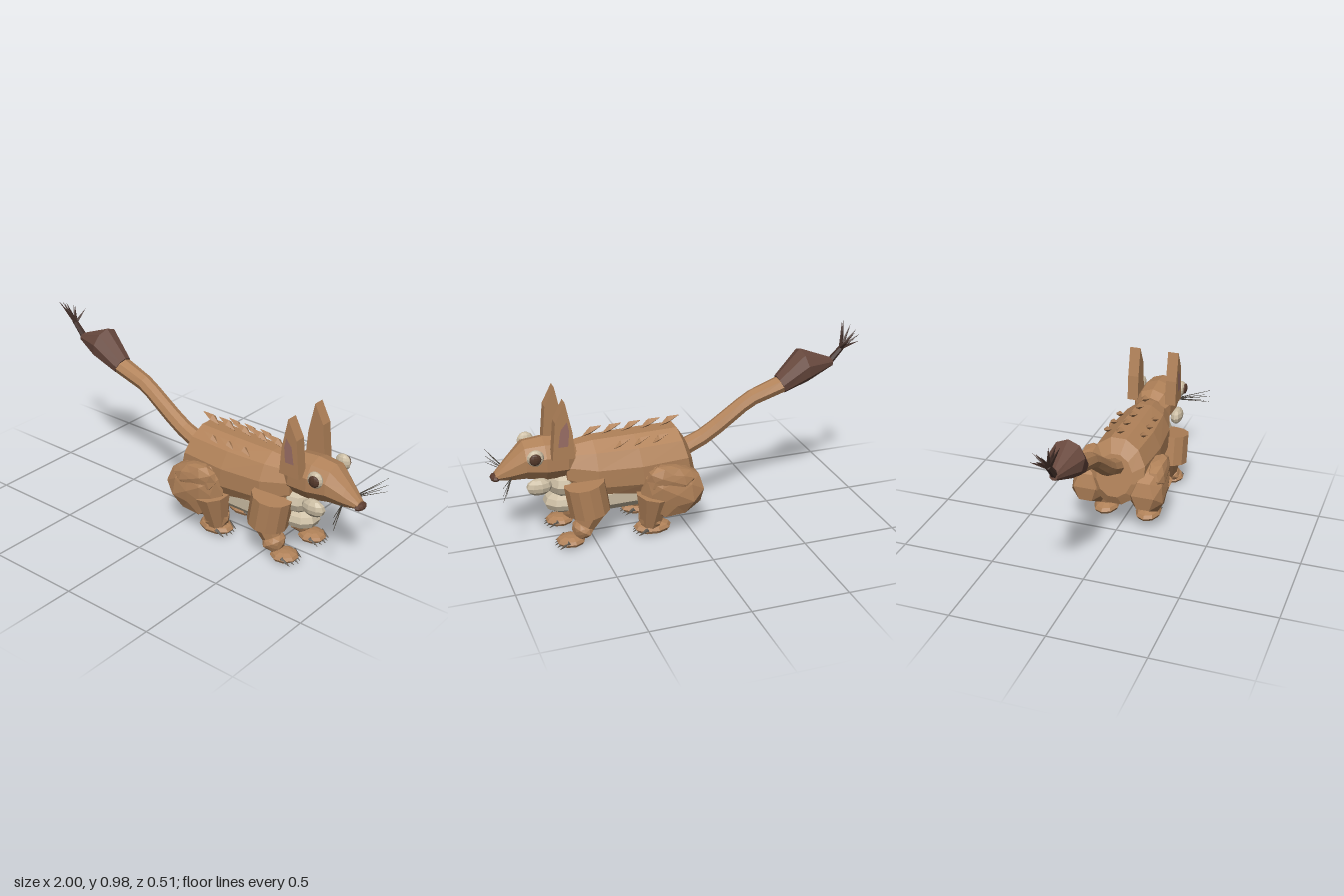
import * as THREE from 'three';

const mat = (name, color, side = THREE.FrontSide) => {
  const m = new THREE.MeshStandardMaterial({ color, flatShading: true, side });
  m.name = name;
  return m;
};

export function createModel() {
  const root = new THREE.Group();
  root.name = 'longTailedRodent';
  const fur = mat('tan fur', 0xb18259);
  const cream = mat('cream fur', 0xcbbda3);
  const tuftFur = mat('dark tail fur', 0x6a4a3f);
  const hair = mat('tail hair', 0x44302a);
  const noseSkin = mat('nose brown', 0x5c3d30);
  const pupilMat = mat('eye brown', 0x55392b);
  const pink = mat('inner ear pink', 0x9b6f66, THREE.DoubleSide);
  const clawMat = mat('claw grey', 0x5e574e);
  const whiskerMat = mat('whisker grey', 0x48433c);

  const add = (name, geo, material, pos = [0, 0, 0], parent = root) => {
    const m = new THREE.Mesh(geo, material);
    m.name = name;
    m.position.set(...pos);
    parent.add(m);
    return m;
  };

  // Closed skin over elliptical rings [x, y, radiusY, radiusZ, tilt], listed towards +x
  const loft = (rings, sides, phase = 0, z0 = 0) => {
    const p = [], idx = [], n = rings.length;
    for (const [x, y, ry, rz, t = 0] of rings)
      for (let j = 0; j < sides; j++) {
        const a = ((j + phase) / sides) * Math.PI * 2, h = Math.cos(a) * ry;
        p.push(x - Math.sin(t) * h, y + Math.cos(t) * h, z0 + Math.sin(a) * rz);
      }
    p.push(rings[0][0], rings[0][1], z0, rings[n - 1][0], rings[n - 1][1], z0);
    for (let j = 0; j < sides; j++) {
      const k = (j + 1) % sides, e = (n - 1) * sides;
      for (let i = 0; i < n - 1; i++) {
        const a = i * sides, b = a + sides;
        idx.push(a + j, a + k, b + j, a + k, b + k, b + j);
      }
      idx.push(n * sides, k, j, n * sides + 1, e + j, e + k);
    }
    const g = new THREE.BufferGeometry();
    g.setAttribute('position', new THREE.Float32BufferAttribute(p, 3));
    g.setIndex(idx);
    g.computeVertexNormals();
    return g;
  };

  // Tapered rod between two points
  const rod = (name, a, b, r0, r1, sides, material) => {
    const A = new THREE.Vector3(...a), B = new THREE.Vector3(...b), d = B.clone().sub(A);
    const m = add(name, new THREE.CylinderGeometry(r1, r0, d.length(), sides), material);
    m.position.copy(A).add(B).multiplyScalar(0.5);
    m.quaternion.setFromUnitVectors(new THREE.Vector3(0, 1, 0), d.normalize());
    return m;
  };

  const ball = (rx, ry, rz, w = 9, h = 6) => new THREE.SphereGeometry(1, w, h).scale(rx, ry, rz);

  // Ruffled low-poly lump, the same on both sides of the body
  const ruffle = (rx, ry, rz, amount) => {
    const g = new THREE.IcosahedronGeometry(1, 1), p = g.attributes.position;
    for (let i = 0; i < p.count; i++) {
      const x = p.getX(i), y = p.getY(i), z = Math.abs(p.getZ(i));
      const f = 1 + amount * Math.sin(9 * x + 12 * y + 5 * z);
      p.setXYZ(i, x * f, y * f, p.getZ(i) * f);
    }
    g.scale(rx, ry, rz);
    g.computeVertexNormals();
    return g;
  };

  // Trunk and underside
  add('body', loft([[-0.035, 0.36, 0.12, 0.1, -0.2], [0, 0.37, 0.185, 0.16, -0.2],
    [0.25, 0.36, 0.19, 0.17, -0.08], [0.48, 0.365, 0.18, 0.15], [0.63, 0.4, 0.12, 0.1]], 12, 0.5), fur);
  add('belly', loft([[0, 0.25, 0.06, 0.07], [0.15, 0.24, 0.1, 0.135], [0.45, 0.235, 0.095, 0.135],
    [0.62, 0.25, 0.07, 0.09]], 10), cream);
  add('lowerChest', ball(0.1, 0.06, 0.09), cream, [0.64, 0.215, 0]);
  add('upperChest', ball(0.09, 0.075, 0.115), cream, [0.635, 0.325, 0]);

  // Head and snout
  add('head', loft([[0.57, 0.45, 0.09, 0.085], [0.62, 0.46, 0.11, 0.11], [0.73, 0.465, 0.115, 0.115],
    [0.83, 0.47, 0.1, 0.1], [0.91, 0.43, 0.06, 0.062], [0.975, 0.4, 0.02, 0.03]], 10), fur);
  add('nose', ball(0.026, 0.02, 0.042), noseSkin, [0.974, 0.393, 0]);

  // Tail, tuft and hair tip
  add('tail', loft([[-0.56, 0.69, 0.045, 0.055, -0.35], [-0.4, 0.635, 0.042, 0.047, -0.4],
    [-0.34, 0.6, 0.04, 0.046, -0.6], [-0.2, 0.5, 0.043, 0.046, -0.6], [-0.12, 0.45, 0.043, 0.047, -0.45],
    [0, 0.4, 0.045, 0.053, -0.4]], 8), fur);
  add('tailTuft', loft([[-0.85, 0.78, 0.022, 0.02, -0.1], [-0.685, 0.785, 0.093, 0.09, -0.25],
    [-0.555, 0.69, 0.052, 0.057, -0.45]], 9), tuftFur);
  rod('tuftStalk', [-0.84, 0.785, 0], [-0.91, 0.86, 0], 0.018, 0.014, 6, hair);
  [[-0.945, 0.985, 0.075], [-0.92, 0.975, 0.045], [-0.965, 0.965, 0.03], [-0.985, 0.945, 0],
    [-0.9, 0.95, 0], [-0.998, 0.925, -0.02], [-0.955, 0.94, -0.04], [-0.9, 0.91, -0.08],
    [-0.97, 0.9, -0.06]].forEach((tip) => rod('tailHair', [-0.9, 0.85, 0], tip, 0.013, 0, 4, hair));

  // Back ridge: one middle row and a shorter row on each flank
  const spine = (x, y, z, s) => add('backSpine', loft([[x, y + 0.043, 0.002, 0.002],
    [x + 0.06 * s, y + 0.025, 0.02 * s, 0.025 * s], [x + 0.1 * s, y, 0.002, 0.002]], 4, 0, z), fur);
  for (let i = 0; i < 5; i++) spine(0.01 + i * 0.103, 0.55, 0, 1);

  for (const s of [1, -1]) {
    for (let i = 0; i < 3; i++) spine(0.1 + i * 0.1, 0.502, s * 0.1, 0.85);

    // Ears: flat slabs with a thin inner panel
    const ear = new THREE.Shape([[0.595, 0.5], [0.605, 0.64], [0.638, 0.8], [0.69, 0.7], [0.71, 0.5]]
      .map((q) => new THREE.Vector2(...q)));
    add('ear', new THREE.ExtrudeGeometry(ear, { depth: 0.06, bevelEnabled: false }), fur,
      [0, 0, s > 0 ? 0.08 : -0.14]);
    const inner = new THREE.Shape([[0.63, 0.57], [0.622, 0.65], [0.632, 0.7], [0.665, 0.66], [0.68, 0.57]]
      .map((q) => new THREE.Vector2(...q)));
    add('innerEar', new THREE.ShapeGeometry(inner), pink, [0, 0, s * 0.143]);

    // Eyes and cheeks
    add('eye', ball(0.043, 0.043, 0.025, 10, 8), cream, [0.79, 0.52, s * 0.118]);
    add('pupil', ball(0.03, 0.03, 0.013, 10, 8), pupilMat, [0.795, 0.52, s * 0.137]);
    add('cheek', ball(0.067, 0.045, 0.034), cream, [0.775, 0.355, s * 0.1]);

    // Whiskers
    [[0.98, 0.443, 0.24], [0.96, 0.42, 0.21], [0.98, 0.405, 0.24], [0.96, 0.385, 0.21], [0.98, 0.37, 0.235]]
      .forEach(([x, y, z]) => rod('whisker', [0.9, 0.395, s * 0.04], [x, y, s * z], 0.003, 0.001, 4, whiskerMat));

    // Hind leg: ruffled haunch, fan-shaped shin, foot
    add('haunch', ruffle(0.16, 0.145, 0.105, 0.12), fur, [0.1, 0.265, s * 0.16]);
    add('hipFold', ruffle(0.12, 0.075, 0.06, 0.15), fur, [0.12, 0.34, s * 0.195]);
    rod('hindShin', [0.19, 0.25, s * 0.15], [0.21, 0.05, s * 0.125], 0.1, 0.05, 9, fur);
    add('hindAnkle', ruffle(0.06, 0.05, 0.075, 0.12), fur, [0.21, 0.1, s * 0.125]);
    add('hindFoot', ball(0.1, 0.034, 0.07), fur, [0.195, 0.043, s * 0.12]);

    // Front leg: drum-shaped shoulder, forearm, wrist, foot
    add('shoulder', new THREE.CylinderGeometry(0.105, 0.105, 0.165, 12), fur, [0.54, 0.275, s * 0.128])
      .rotation.z = -0.16;
    rod('forearm', [0.5, 0.23, s * 0.12], [0.56, 0.09, s * 0.12], 0.085, 0.045, 8, fur);
    add('wrist', ruffle(0.05, 0.045, 0.07, 0.12), fur, [0.57, 0.095, s * 0.12]);
    add('frontFoot', ball(0.075, 0.03, 0.07), fur, [0.63, 0.04, s * 0.12]);

    // Claws on both feet
    for (const [x, y] of [[0.665, 0.05], [0.25, 0.052]])
      for (let i = -2; i <= 2; i++) {
        const z = s * 0.12 + i * 0.026, back = Math.abs(i) * 0.008;
        rod('claw', [x - back, y, z], [x + 0.05 - back, y - 0.028, z], 0.012, 0.001, 5, clawMat);
      }
  }
  return root;
}
